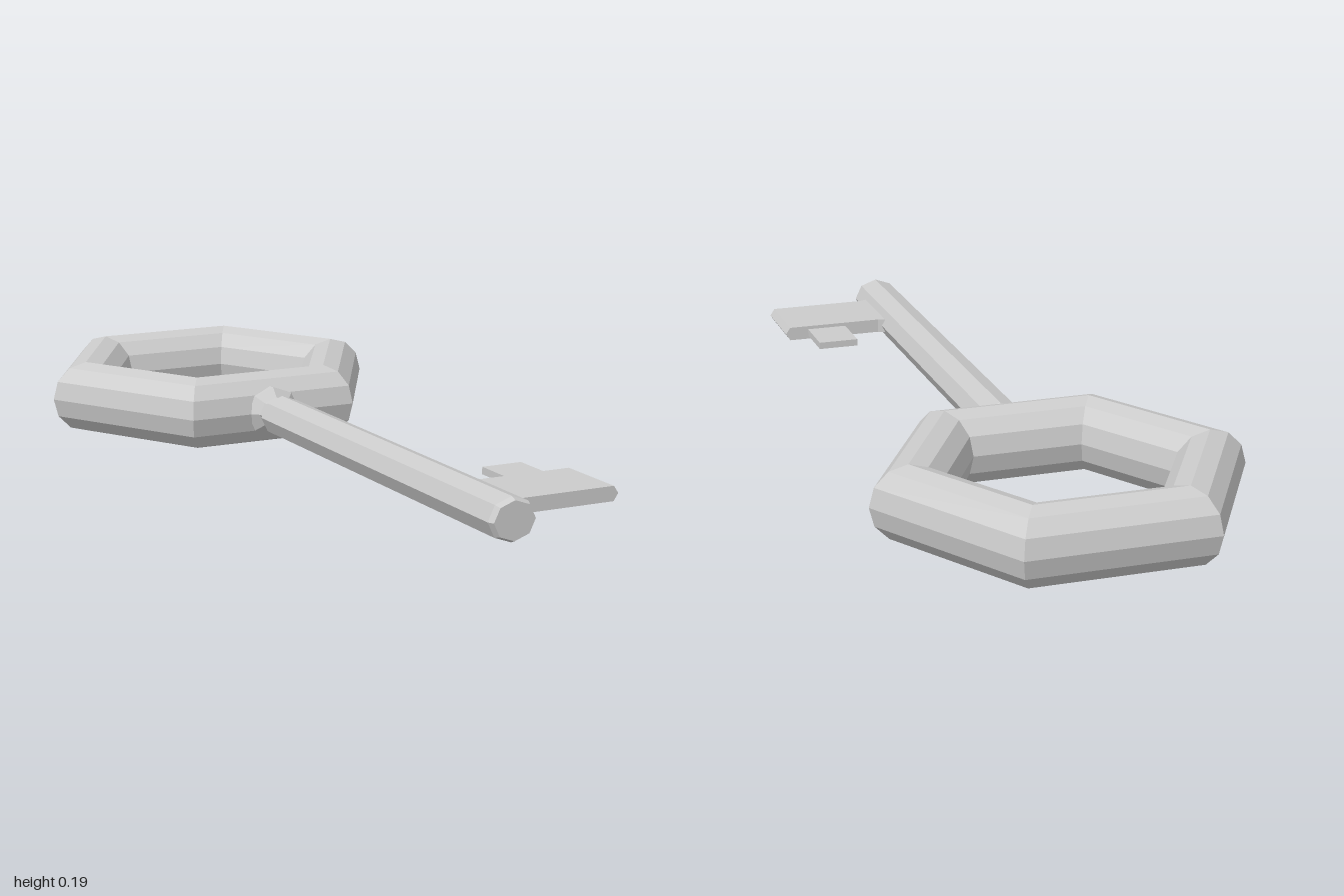
import * as THREE from 'three';

export function createModel() {
  const key = new THREE.Group();
  key.name = 'key';
  const material = new THREE.MeshStandardMaterial({ color: 0xcccccc, flatShading: true });
  const midY = 0.094;

  const add = (name, geometry, z = 0) => {
    const mesh = new THREE.Mesh(geometry, material);
    mesh.name = name;
    mesh.position.set(0, midY, z);
    key.add(mesh);
  };

  // Hexagonal handle ring, twelve-sided in section
  add('bow', new THREE.TorusGeometry(0.368, 0.094, 12, 6).rotateX(Math.PI / 2), -0.6);

  // Eight-sided shaft: flared foot, narrow neck, bevelled tip; slightly flattened
  const profile = [
    [0, -0.25], [0.074, -0.25], [0.074, -0.206], [0.048, -0.187], [0.048, -0.172],
    [0.06, -0.152], [0.06, 0.985], [0.053, 1], [0, 1],
  ].map(([r, z]) => new THREE.Vector2(r, z));
  add('shaft', new THREE.LatheGeometry(profile, 8).rotateX(Math.PI / 2).scale(1, 0.87, 1));

  // Blade with a pointed outer edge
  const h = 0.018;
  const section = new THREE.Shape([
    [0.03, -h], [0.07, -h], [0.322, -h], [0.334, 0], [0.322, h], [0.07, h], [0.03, h],
  ].map(([x, y]) => new THREE.Vector2(x, y)));
  const blade = new THREE.ExtrudeGeometry(section, { depth: 0.188, bevelEnabled: false });
  blade.translate(0, 0, -0.094);
  // Widen the root where the blade meets the shaft
  const p = blade.attributes.position;
  for (let i = 0; i < p.count; i++) {
    if (p.getX(i) < 0.05) p.setZ(i, p.getZ(i) * 1.2);
  }
  blade.computeVertexNormals();
  add('blade', blade, 0.806);

  // Thin tooth pointing back towards the bow
  add('tooth', new THREE.BoxGeometry(0.106, 0.018, 0.16).translate(0.218, 0, 0), 0.663);

  return key;
}
